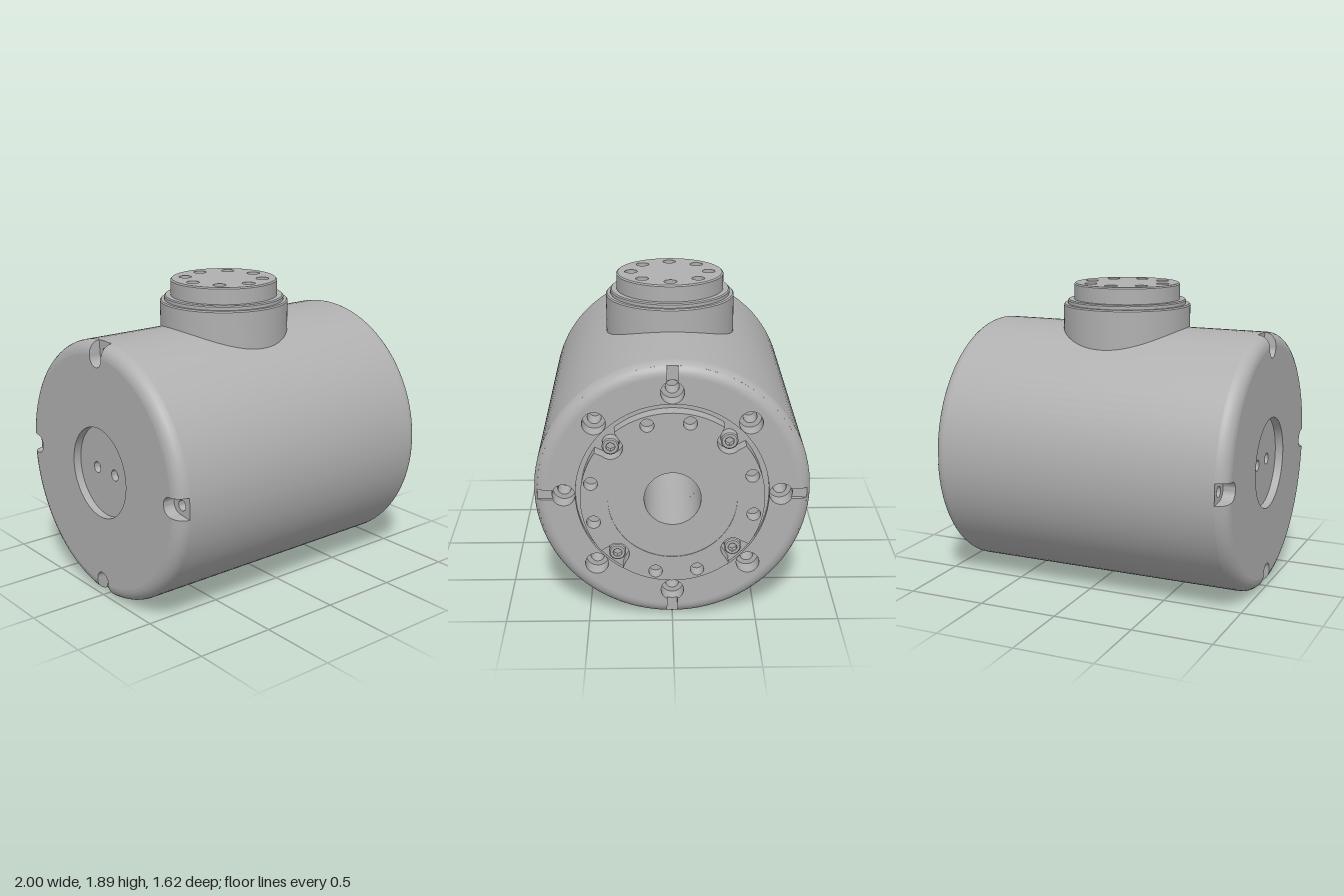
import * as THREE from 'three';
import { toCreasedNormals } from 'three/addons/utils/BufferGeometryUtils.js';

const grey = new THREE.MeshStandardMaterial({ color: 0xb0b0b0, side: THREE.DoubleSide });
grey.name = 'machined grey';

const PI = Math.PI;
const RADIUS = 0.81, FILLET = 0.08, FACE = RADIUS - FILLET, BORE = 0.165;

function add(parent, name, geometry) {
  const mesh = new THREE.Mesh(geometry, grey);
  mesh.name = name;
  parent.add(mesh);
  return mesh;
}

const polar = (r, a) => [r * Math.cos(a), r * Math.sin(a)];
const around = (n, r, offset = 0) =>
  Array.from({ length: n }, (_, i) => polar(r, offset + (i * 2 * PI) / n));

function disc(r) {
  return new THREE.Shape().absarc(0, 0, r, 0, 2 * PI, false);
}

function drill(shape, r, centres = [[0, 0]]) {
  for (const [x, y] of centres) {
    shape.holes.push(new THREE.Path().absarc(x, y, r, 0, 2 * PI, true));
  }
  return shape;
}

// Flat plate between two heights along local z
function plate(shape, z0, z1) {
  const g = new THREE.ExtrudeGeometry(shape, { depth: z1 - z0, bevelEnabled: false, curveSegments: 40 });
  return toCreasedNormals(g.translate(0, 0, z0), 0.5);
}

// Surface of revolution about local z, from [radius, z] points
function turned(points, start = 0, length = 2 * PI, segments = 96) {
  const g = new THREE.LatheGeometry(points.map(p => new THREE.Vector2(...p)), segments, start, length);
  return toCreasedNormals(g.rotateX(PI / 2), 0.5);
}

// Disc with four rounded pockets opening to its rim
function notchedDisc(R, offset, dist, pocketR, half, rimHalf = half) {
  const pts = [];
  const g = Math.asin(rimHalf / R), s = Math.asin(half / pocketR);
  for (let k = 0; k < 4; k++) {
    const a = offset + (k * PI) / 2;
    pts.push(new THREE.Vector2(...polar(R, a - g)));
    for (let i = 0; i <= 20; i++) {
      const t = -s - (i / 20) * (2 * PI - 2 * s);
      const p = new THREE.Vector2(dist + pocketR * Math.cos(t), pocketR * Math.sin(t));
      pts.push(p.rotateAround(new THREE.Vector2(), a));
    }
    for (let i = 0; i < 24; i++) {
      pts.push(new THREE.Vector2(...polar(R, a + g + (i / 24) * (PI / 2 - 2 * g))));
    }
  }
  return new THREE.Shape(pts);
}

// Fillet arc points relative to an end face at z = 0
function filletArc(from, to, n = 6) {
  return Array.from({ length: n + 1 }, (_, i) => {
    const a = from + ((to - from) * i) / n;
    return [FACE + FILLET * Math.cos(a), FILLET * (Math.sin(a) - 1)];
  });
}
const cutAngle = depth => Math.asin(1 - depth / FILLET);

// End face with rim slots cut through the rounded edge
function endCap(name, depth, dist, pocketR, half, centreR) {
  const cap = new THREE.Group();
  cap.name = name;
  const face = drill(notchedDisc(FACE, 0, dist, pocketR, half), centreR);
  const arc = filletArc(cutAngle(depth), PI / 2);
  const g = Math.asin(half / FACE);
  const wall = new THREE.Shape([...arc, [FACE, -depth]].map(p => new THREE.Vector2(...p)));
  for (let k = 0; k < 4; k++) {
    const start = (k * PI) / 2 + g, length = PI / 2 - 2 * g;
    add(cap, 'roundedEdge', turned(arc, start, length, 24));
    for (const phi of [start, start + length]) {
      const side = new THREE.ShapeGeometry(wall).rotateY(phi - PI / 2).rotateX(PI / 2);
      add(cap, 'slotWall', side);
    }
  }
  return { cap, face, floorR: arc[0][0] };
}

export function createModel() {
  const model = new THREE.Group();
  model.name = 'actuatorHousing';

  // Horizontal drum: local z runs along world x
  const drum = new THREE.Group();
  drum.name = 'drum';
  drum.rotation.y = PI / 2;
  drum.position.y = RADIUS;
  model.add(drum);

  const X0 = -1, X1 = 0.94, rearDepth = 0.075, frontDepth = 0.025;
  const rearArc = filletArc(0, cutAngle(rearDepth), 3).reverse().map(([r, z]) => [r, X0 - z]);
  const frontArc = filletArc(0, cutAngle(frontDepth), 5).map(([r, z]) => [r, X1 + z]);
  add(drum, 'drumShell', turned([...rearArc, ...frontArc]));
  add(drum, 'centralBore', turned([[BORE, X1], [BORE, -0.91]]));

  // Flange end
  const front = endCap('flangeEnd', frontDepth, 0.635, 0.068, 0.03, 0.565);
  front.cap.position.z = X1;
  drum.add(front.cap);
  const bolts = around(8, 0.635);
  drill(front.face, 0.068, around(4, 0.635, PI / 4));
  add(front.cap, 'endFace', plate(front.face, -frontDepth, 0));
  add(front.cap, 'counterborePlate',
    plate(drill(drill(disc(front.floorR), BORE), 0.068, bolts), -0.1, -frontDepth));
  add(front.cap, 'boltHolePlate',
    plate(drill(drill(disc(front.floorR), BORE), 0.04, bolts), -0.22, -0.1));
  add(front.cap, 'boltHoleFloor', new THREE.RingGeometry(BORE, 0.75, 64).translate(0, 0, -0.22));

  // Output flange with screw pockets and paired holes
  const deg = PI / 180, screwAngle = 47.5 * deg;
  const flange = drill(notchedDisc(0.535, screwAngle, 0.48, 0.07, 0.07, 0.085), 0.375);
  drill(flange, 0.04, [...around(4, 0.482, 78 * deg), ...around(4, 0.482, 107.5 * deg)]);
  add(front.cap, 'outputFlange', plate(flange, -frontDepth, 0.06));
  add(front.cap, 'flangeCentre', plate(drill(disc(0.375), BORE), -frontDepth, 0.056));
  for (const [x, y] of around(4, 0.48, screwAngle)) {
    const screw = new THREE.Group();
    screw.name = 'flangeScrew';
    screw.position.set(x, y, 0);
    front.cap.add(screw);
    add(screw, 'screwHead', turned(
      [[0.05, -frontDepth], [0.05, 0.035], [0.043, 0.042], [0.026, 0.042]], 0, 2 * PI, 24));
    add(screw, 'screwSocket', turned([[0.026, 0.042], [0.026, 0.01], [0, 0.01]], 0, 2 * PI, 6));
  }

  // Rear end with recessed cover
  const rear = endCap('rearEnd', rearDepth, 0.72, 0.06, 0.06, 0.285);
  rear.cap.position.z = X0;
  rear.cap.rotation.y = PI;
  drum.add(rear.cap);
  add(rear.cap, 'endFace', plate(rear.face, -rearDepth, 0));
  add(rear.cap, 'pocketFloor',
    plate(drill(drill(disc(rear.floorR - 0.002), BORE), 0.032, around(4, 0.735)), -0.14, -rearDepth));
  add(rear.cap, 'rearCover',
    plate(drill(disc(0.285), 0.035, [[-0.095, 0], [0.095, 0]]), -0.09, -0.05));

  // Vertical port: local z runs up
  const port = new THREE.Group();
  port.name = 'topPort';
  port.rotation.x = -PI / 2;
  port.position.x = -0.03;
  model.add(port);
  add(port, 'portNeck', turned([
    [0.402, 1.4], [0.402, 1.752], [0.395, 1.76], [0.375, 1.76], [0.375, 1.78],
    [0.368, 1.787], [0.335, 1.787], [0.335, 1.882], [0.327, 1.89],
  ]));
  const holes = around(8, 0.243);
  add(port, 'portTop', plate(drill(disc(0.327), 0.04, holes), 1.85, 1.89));
  for (const [x, y] of holes) {
    const tip = turned([[0.04, 1.85], [0, 1.827]], 0, 2 * PI, 24);
    add(port, 'drillTip', tip).position.set(x, y, 0);
  }
  return model;
}
